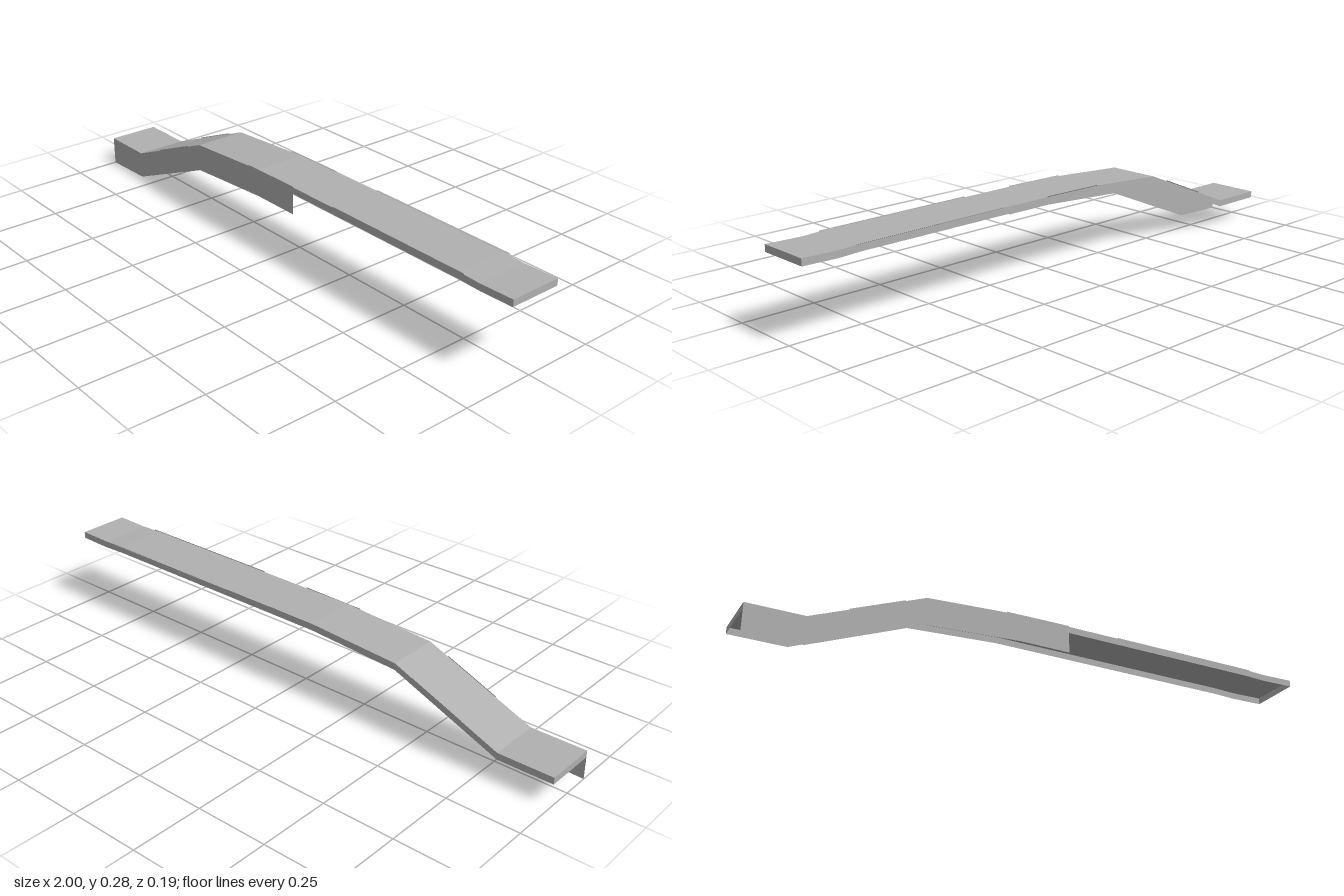
import * as THREE from 'three';

const FRONT = 0.094, BACK = -0.088, LIP = 0.023;

// Deck centre line as [x, y of the top]
const DECK = [[-1, 0.1], [-0.81, 0.1], [-0.43, 0.257], [-0.1, 0.277], [0.08, 0.277], [0.8, 0.277], [0.88, 0.274], [1, 0.277]];

// Height of the deck at any x
function deckY(x) {
  for (let i = 1; i < DECK.length; i++) {
    const [x0, y0] = DECK[i - 1], [x1, y1] = DECK[i];
    if (x <= x1) return y0 + (y1 - y0) * (x - x0) / (x1 - x0);
  }
  return DECK[DECK.length - 1][1];
}

// Flat-faced sheet between two lines that have the same number of points
function ribbon(name, a, b, material) {
  const pos = [];
  for (let i = 1; i < a.length; i++) {
    pos.push(...a[i - 1], ...a[i], ...b[i], ...a[i - 1], ...b[i], ...b[i - 1]);
  }
  const geometry = new THREE.BufferGeometry();
  geometry.setAttribute('position', new THREE.Float32BufferAttribute(pos, 3));
  geometry.computeVertexNormals();
  const mesh = new THREE.Mesh(geometry, material);
  mesh.name = name;
  return mesh;
}

// The deck line moved to a given z and lowered
const line = (points, z, drop = 0) => points.map(([x, y]) => [x, y - drop, z]);

export function createModel() {
  const group = new THREE.Group();
  group.name = 'ramp';
  const concrete = new THREE.MeshStandardMaterial({ color: 0xb0b0b0, side: THREE.DoubleSide });
  concrete.name = 'concrete grey';
  const add = (name, a, b) => group.add(ribbon(name, a, b, concrete));

  // Walking surface
  add('deck', line(DECK, FRONT), line(DECK, BACK));

  // Deep front skirt on the lower half, shallow lip beyond it
  const low = DECK.slice(0, 5), high = DECK.slice(4);
  add('frontSkirt', line(low, FRONT, 0.1).map(([x, y, z]) => [x, x > -0.82 ? y + 0.005 : y, z]), line(low, FRONT));
  add('frontLip', line(high, FRONT, LIP), line(high, FRONT));

  // Back lip along the whole length
  add('backLip', line(DECK, BACK), line(DECK, BACK, LIP));

  // End lips
  add('upperEndLip', [[1, 0.277 - LIP, FRONT], [1, 0.277 - LIP, BACK]], [[1, 0.277, FRONT], [1, 0.277, BACK]]);
  add('lowerEndLip', [[-1, 0.1 - LIP, BACK], [-1, 0.1 - LIP, FRONT]], [[-1, 0.1, BACK], [-1, 0.1, FRONT]]);

  // Thin raised edge strips, the back ones leaning slightly outwards
  for (const [x0, x1, lean] of [[-0.68, -0.5, 0.002], [-0.15, 0.08, 0.003], [0.27, 0.82, 0.006]]) {
    const span = [x0, x1].map(x => [x, deckY(x)]);
    add('backEdgeStrip', line(span, BACK), line(span, BACK - lean, -0.003));
    add('frontEdgeStrip', line(span, FRONT), line(span, FRONT, -0.003));
  }
  return group;
}
